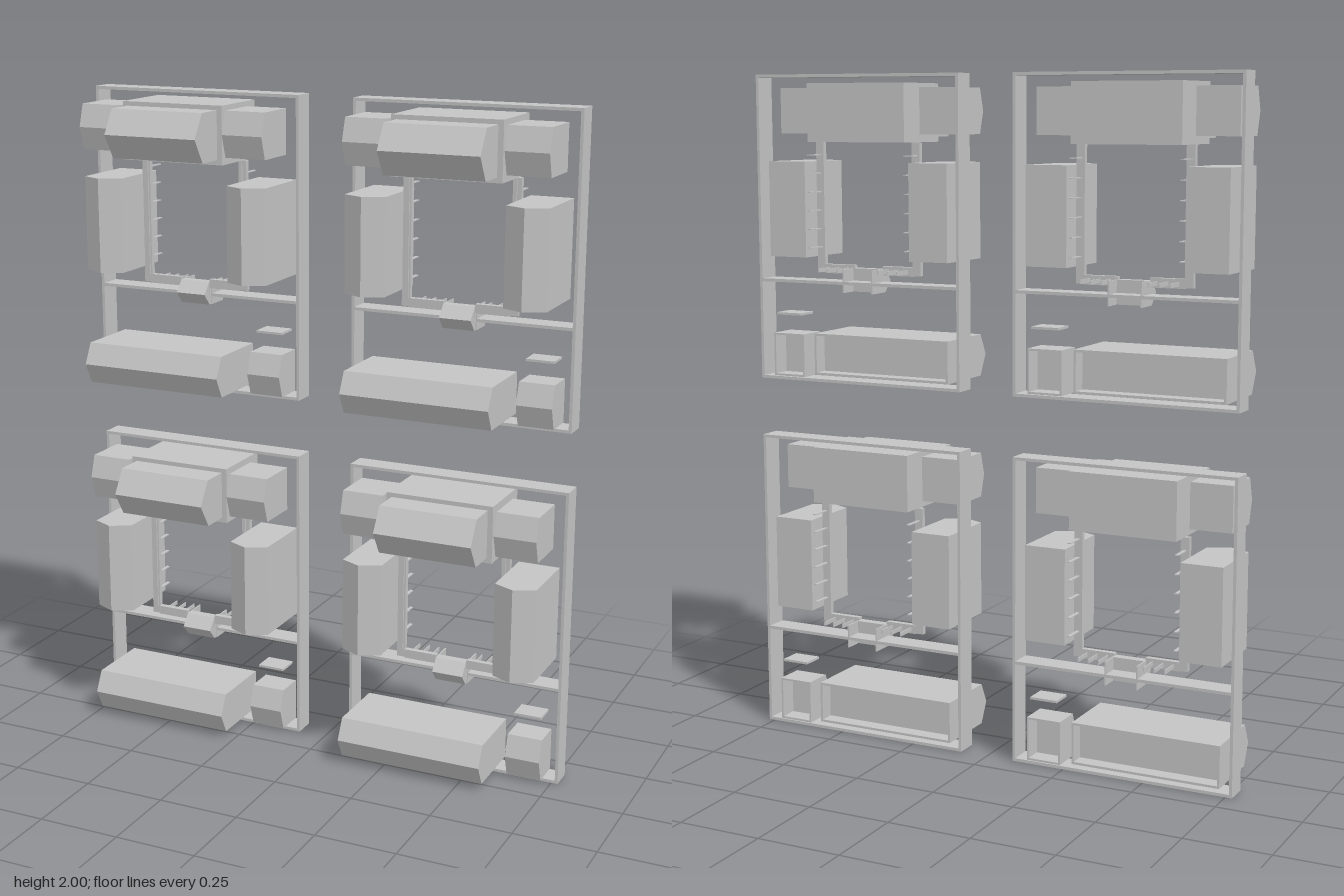
import * as THREE from 'three';

const BACK = -0.17, FACE = -0.10;

export function createModel() {
  const grey = new THREE.MeshStandardMaterial({ color: 0xc4c4c4 });
  grey.name = 'plain grey';

  const add = (group, name, geometry) => {
    const mesh = new THREE.Mesh(geometry, grey);
    mesh.name = name;
    group.add(mesh);
    return mesh;
  };

  // Box given by its limits on each axis
  const block = (group, name, x0, x1, y0, y1, z0, z1) => {
    const mesh = add(group, name, new THREE.BoxGeometry(x1 - x0, y1 - y0, z1 - z0));
    mesh.position.set((x0 + x1) / 2, (y0 + y1) / 2, (z0 + z1) / 2);
  };

  const extrude = (points, depth) => new THREE.ExtrudeGeometry(
    new THREE.Shape(points.map(([a, b]) => new THREE.Vector2(a, b))),
    { depth, bevelEnabled: false });

  // Hood lying along x, its front folded to a horizontal ridge
  const hood = (group, name, x0, x1, y0, y1, zBack, zEdge, zRidge) => {
    const geo = extrude([[-zBack, y0], [-zEdge, y0], [-zRidge, (y0 + y1) / 2],
      [-zEdge, y1], [-zBack, y1]], x1 - x0);
    add(group, name, geo.rotateY(Math.PI / 2).translate(x0, 0, 0));
  };

  // Pod standing along y, its front folded to a vertical ridge
  const pod = (group, name, x0, x1, y0, y1, zBack, zEdge, zRidge) => {
    const geo = extrude([[x0, -zBack], [x0, -zEdge], [(x0 + x1) / 2, -zRidge],
      [x1, -zEdge], [x1, -zBack]], y1 - y0);
    add(group, name, geo.rotateX(-Math.PI / 2).translate(0, y0, 0));
  };

  // Four thin walls around a rectangle
  const rim = (group, name, x0, x1, y0, y1, z0, z1, t) => {
    block(group, name, x0, x0 + t, y0, y1, z0, z1);
    block(group, name, x1 - t, x1, y0, y1, z0, z1);
    block(group, name, x0 + t, x1 - t, y0, y0 + t, z0, z1);
    block(group, name, x0 + t, x1 - t, y1 - t, y1, z0, z1);
  };

  const createPanel = () => {
    const panel = new THREE.Group();
    panel.name = 'panel';

    // Outer frame and shelf
    rim(panel, 'outerFrame', -0.342, 0.342, 0, 0.912, BACK, FACE, 0.009);
    block(panel, 'shelf', -0.333, 0.333, 0.296, 0.305, BACK, FACE);

    // Top row of hoods
    block(panel, 'topHousing', -0.165, 0.163, 0.715, 0.886, BACK, 0.037);
    hood(panel, 'topHood', -0.15, 0.147, 0.73, 0.873, 0.03, 0.125, 0.17);
    hood(panel, 'cornerHood', -0.304, -0.177, 0.738, 0.873, FACE, 0.037, 0.058);
    hood(panel, 'cornerHood', 0.174, 0.301, 0.738, 0.873, FACE, 0.037, 0.058);

    // Side pods
    pod(panel, 'sidePod', -0.304, -0.178, 0.373, 0.657, BACK, 0.037, 0.067);
    pod(panel, 'sidePod', 0.175, 0.301, 0.373, 0.657, BACK, 0.037, 0.067);

    // Bottom hoods with recessed backs
    hood(panel, 'bottomHood', -0.304, 0.151, 0.021, 0.146, -0.125, 0.037, 0.069);
    rim(panel, 'bottomHoodRim', -0.304, 0.151, 0.021, 0.146, BACK, -0.125, 0.007);
    hood(panel, 'smallHood', 0.188, 0.295, 0.011, 0.141, -0.115, -0.08, -0.058);
    rim(panel, 'smallHoodRim', 0.188, 0.295, 0.011, 0.141, BACK, -0.115, 0.006);
    block(panel, 'smallLedge', 0.199, 0.284, 0.197, 0.204, BACK, FACE);

    // Window bezel: upright rails with fine rungs behind
    for (const s of [-1, 1]) {
      const c = s * 0.164 - 0.002;
      block(panel, 'bezelRail', c - 0.013, c + 0.013, 0.325, 0.715, -0.105, -0.09);
      block(panel, 'bezelRailRidge', c - s * 0.004 - 0.004, c - s * 0.004 + 0.004,
        0.35, 0.715, FACE, -0.085);
      for (let i = 0; i < 6; i++) {
        const y = 0.4 + i * 0.055;
        block(panel, 'railRung', c - 0.005, c + 0.005, y, y + 0.003, BACK, FACE);
      }
    }

    // Lower bezel bar, stepped down at the middle, with fine ribs behind
    for (const s of [-1, 1]) {
      const a = s * 0.049 - 0.002, b = s * 0.151 - 0.002;
      block(panel, 'bezelSill', Math.min(a, b), Math.max(a, b), 0.323, 0.35, -0.105, -0.088);
      for (let i = 0; i < 3; i++) {
        const x = s * (0.07 + i * 0.032) - 0.002;
        block(panel, 'sillRib', x - 0.0015, x + 0.0015, 0.33, 0.342, BACK, FACE);
      }
      block(panel, 'latchCheek', a - 0.002, a + 0.002, 0.272, 0.342, BACK, FACE);
    }
    block(panel, 'sillStep', -0.051, 0.047, 0.307, 0.338, -0.105, -0.09);
    hood(panel, 'latch', -0.05, 0.046, 0.272, 0.342, -0.115, -0.088, -0.058);

    return panel;
  };

  // Two by two set of panels
  const model = new THREE.Group();
  model.name = 'panelSet';
  for (const x of [-0.428, 0.428]) {
    for (const y of [0, 1.088]) {
      const panel = createPanel();
      panel.position.set(x, y, 0);
      model.add(panel);
    }
  }
  return model;
}
